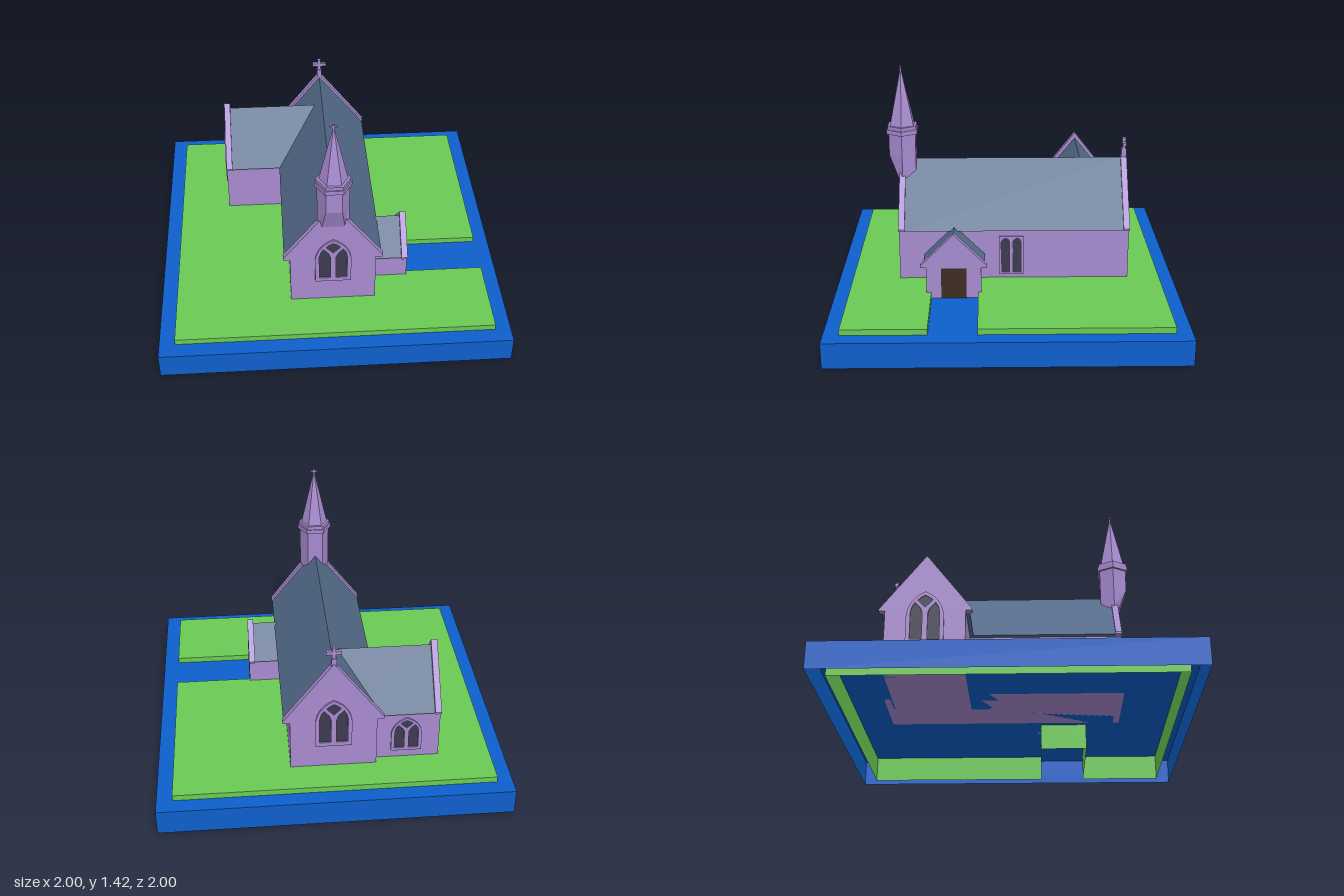
import * as THREE from 'three';

const mat = (color, side = THREE.FrontSide) =>
  new THREE.MeshStandardMaterial({ color, flatShading: true, side });
const stone = mat(0xa88bd0);
const slate = mat(0x546b8a);
const glass = mat(0x3b3b50, THREE.DoubleSide);
const wood = mat(0x3d2b22);
const water = mat(0x0d5fcc, THREE.DoubleSide);
const grass = mat(0x6acb54, THREE.DoubleSide);

function mesh(name, geometry, material, parent, x = 0, y = 0, z = 0) {
  const m = new THREE.Mesh(geometry, material);
  m.name = name;
  m.position.set(x, y, z);
  parent.add(m);
  return m;
}

function group(name, parent) {
  const g = new THREE.Group();
  g.name = name;
  parent.add(g);
  return g;
}

const poly = (pts) => new THREE.Shape(pts.map(([x, y]) => new THREE.Vector2(x, y)));
const extrude = (shape, depth) =>
  new THREE.ExtrudeGeometry(shape, { depth, bevelEnabled: false, curveSegments: 6 });

// Non-indexed geometry from four-cornered faces
function quads(faces) {
  const pos = faces.flatMap(([a, b, c, d]) => [a, b, c, a, c, d].flat());
  const geo = new THREE.BufferGeometry();
  geo.setAttribute('position', new THREE.Float32BufferAttribute(pos, 3));
  geo.computeVertexNormals();
  return geo;
}

// Bottomless slab; outline is [x, -z], counter-clockwise from above
function slab(name, outline, height, material, parent) {
  const g = group(name, parent);
  const top = new THREE.ShapeGeometry(poly(outline)).rotateX(-Math.PI / 2);
  mesh(name + 'Top', top, material, g, 0, height, 0);
  const sides = outline.map(([x, v], i) => {
    const [x2, v2] = outline[(i + 1) % outline.length];
    return [[x, 0, -v], [x2, 0, -v2], [x2, height, -v2], [x, height, -v]];
  });
  mesh(name + 'Sides', quads(sides), material, g);
}

// Walls, pitched roof and raised gables, running along local z
function wing(name, parent, { back, front, wall, roof, eave, ridge, gableHalf, peak, gables }) {
  const g = group(name, parent);
  const base = 0.15, thick = 0.036;
  mesh(name + 'Walls', new THREE.BoxGeometry(wall * 2, eave - base, front - back - 0.01), stone, g,
    0, (eave + base) / 2, (front + back) / 2);
  const roofBack = back + (gables.includes('back') ? thick : 0);
  const slope = poly([[-roof, eave], [roof, eave], [0, ridge]]);
  mesh(name + 'Roof', extrude(slope, front - thick - roofBack), slate, g, 0, 0, roofBack);
  const outline = poly([
    [-wall, base], [wall, base], [wall, eave], [gableHalf, eave], [gableHalf, eave + 0.012],
    [0, peak], [-gableHalf, eave + 0.012], [-gableHalf, eave], [-wall, eave],
  ]);
  for (const end of gables) {
    mesh(name + 'Gable', extrude(outline, thick), stone, g, 0, 0, end === 'front' ? front - thick : back);
  }
  return g;
}

// Window panel: frame pierced by the panes, glass just behind
function windowPanel(name, parent, frame, panes, position, turn, scale = [1, 1]) {
  const g = group(name, parent);
  frame.holes = panes;
  mesh(name + 'Frame', extrude(frame, 0.013), stone, g, 0, 0, -0.002);
  mesh(name + 'Glass', new THREE.ShapeGeometry(panes), glass, g, 0, 0, 0.003);
  g.position.set(...position);
  g.rotation.y = turn;
  g.scale.set(scale[0], scale[1], 1);
}

function archWindow(name, parent, position, turn, scale) {
  const frame = new THREE.Shape();
  frame.moveTo(-0.103, 0);
  frame.lineTo(0.103, 0);
  frame.lineTo(0.103, 0.17);
  frame.quadraticCurveTo(0.09, 0.27, 0, 0.31);
  frame.quadraticCurveTo(-0.09, 0.27, -0.103, 0.17);
  const panes = [1, -1].map((s) => poly([
    [0.015, 0.025], [0.08, 0.025], [0.08, 0.185], [0.072, 0.22], [0.056, 0.245], [0.025, 0.21], [0.015, 0.18],
  ].map(([x, y]) => [s * x, y])));
  panes.push(poly([[0, 0.215], [0.042, 0.258], [0.024, 0.275], [0, 0.288], [-0.024, 0.275], [-0.042, 0.258]]));
  windowPanel(name, parent, frame, panes, position, turn, scale);
}

function pairWindow(name, parent, position, turn) {
  const frame = poly([[-0.072, 0], [0.072, 0], [0.072, 0.24], [-0.072, 0.24]]);
  const panes = [1, -1].map((s) => poly([
    [0.008, 0.012], [0.06, 0.012], [0.06, 0.205], [0.05, 0.222], [0.034, 0.23], [0.018, 0.222], [0.008, 0.205],
  ].map(([x, y]) => [s * x, y])));
  windowPanel(name, parent, frame, panes, position, turn);
}

function cross(name, parent, x, y, z, height, span, bar) {
  const g = group(name, parent);
  mesh(name + 'Post', new THREE.BoxGeometry(bar, height, bar), stone, g, 0, height / 2, 0);
  mesh(name + 'Arms', new THREE.BoxGeometry(span, bar, bar), stone, g, 0, height * 0.64, 0);
  g.position.set(x, y, z);
}

const hex = (top, bottom, height) =>
  new THREE.CylinderGeometry(top, bottom, height, 6, 1, false, Math.PI / 6);

function bellTower(parent) {
  const g = group('bellTower', parent);
  mesh('towerShaft', hex(0.09, 0.09, 0.15), stone, g, 0, 0.96, 0);
  mesh('collar', hex(0.103, 0.103, 0.026), stone, g, 0, 1.032, 0);
  mesh('collarTop', hex(0.096, 0.096, 0.022), stone, g, 0, 1.055, 0);
  mesh('spire', hex(0.003, 0.08, 0.335), stone, g, 0, 1.232, 0);
  // Corbel leaning back from the shaft to the gable wall
  const top = [], bottom = [];
  for (let i = 0; i < 6; i++) {
    const a = Math.PI / 3 * i;
    const x = 0.09 * Math.cos(a), z = 0.09 * Math.sin(a);
    top.push([x, 0.89, z]);
    const isFront = z > 0.01, isBack = z < -0.01;
    bottom.push(isFront ? [Math.sign(x) * 0.065, 0.73, 0.018]
      : [x, isBack ? 0.73 : 0.77, isBack ? z : 0]);
  }
  const faces = top.map((t, i) => {
    const j = (i + 1) % 6;
    return [t, top[j], bottom[j], bottom[i]];
  });
  faces.push([bottom[0], bottom[1], bottom[2], bottom[3]], [bottom[0], bottom[3], bottom[4], bottom[5]]);
  mesh('towerCorbel', quads(faces), stone, g);
  cross('spireCross', g, 0, 1.385, 0, 0.035, 0.042, 0.01);
  g.position.z = 0.61;
}

export function createModel() {
  const model = new THREE.Group();
  model.name = 'chapel';

  // Ground: blue base and a lawn notched for the path
  slab('base', [[-1, -1], [1, -1], [1, 1], [-1, 1]], 0.15, water, model);
  slab('lawn', [
    [-0.91, -0.91], [0.91, -0.91], [0.91, -0.435], [0.28, -0.435],
    [0.28, -0.165], [0.91, -0.165], [0.91, 0.91], [-0.91, 0.91],
  ], 0.185, grass, model);

  // Nave, side wing and porch
  wing('nave', model, {
    back: -0.722, front: 0.63, wall: 0.245, roof: 0.28, eave: 0.495, ridge: 0.855,
    gableHalf: 0.285, peak: 0.88, gables: ['front', 'back'],
  });
  const transept = wing('transept', model, {
    back: 0, front: 0.61, wall: 0.22, roof: 0.243, eave: 0.497, ridge: 0.8,
    gableHalf: 0.254, peak: 0.835, gables: ['front'],
  });
  transept.rotation.y = -Math.PI / 2;
  transept.position.z = -0.457;
  const porch = wing('porch', model, {
    back: 0.23, front: 0.45, wall: 0.158, roof: 0.178, eave: 0.338, ridge: 0.515,
    gableHalf: 0.192, peak: 0.543, gables: ['front'],
  });
  porch.rotation.y = Math.PI / 2;
  porch.position.z = 0.305;
  mesh('door', new THREE.BoxGeometry(0.146, 0.185, 0.01), wood, porch, 0, 0.2425, 0.447);

  // Windows
  archWindow('frontWindow', model, [0, 0.33, 0.63], 0);
  archWindow('backWindow', model, [0, 0.33, -0.722], Math.PI);
  archWindow('transeptWindow', model, [-0.61, 0.298, -0.457], -Math.PI / 2);
  archWindow('transeptBackWindow', model, [-0.42, 0.235, -0.677], Math.PI, [0.85, 0.73]);
  for (const s of [1, -1]) {
    pairWindow('naveSideWindow', model, [s * 0.245, 0.21, -0.03], s * Math.PI / 2);
  }

  // Tower and rear gable cross
  bellTower(model);
  mesh('crossFoot', new THREE.BoxGeometry(0.03, 0.05, 0.03), stone, model, 0, 0.885, -0.704);
  cross('gableCross', model, 0, 0.88, -0.704, 0.1, 0.085, 0.02);

  return model;
}
